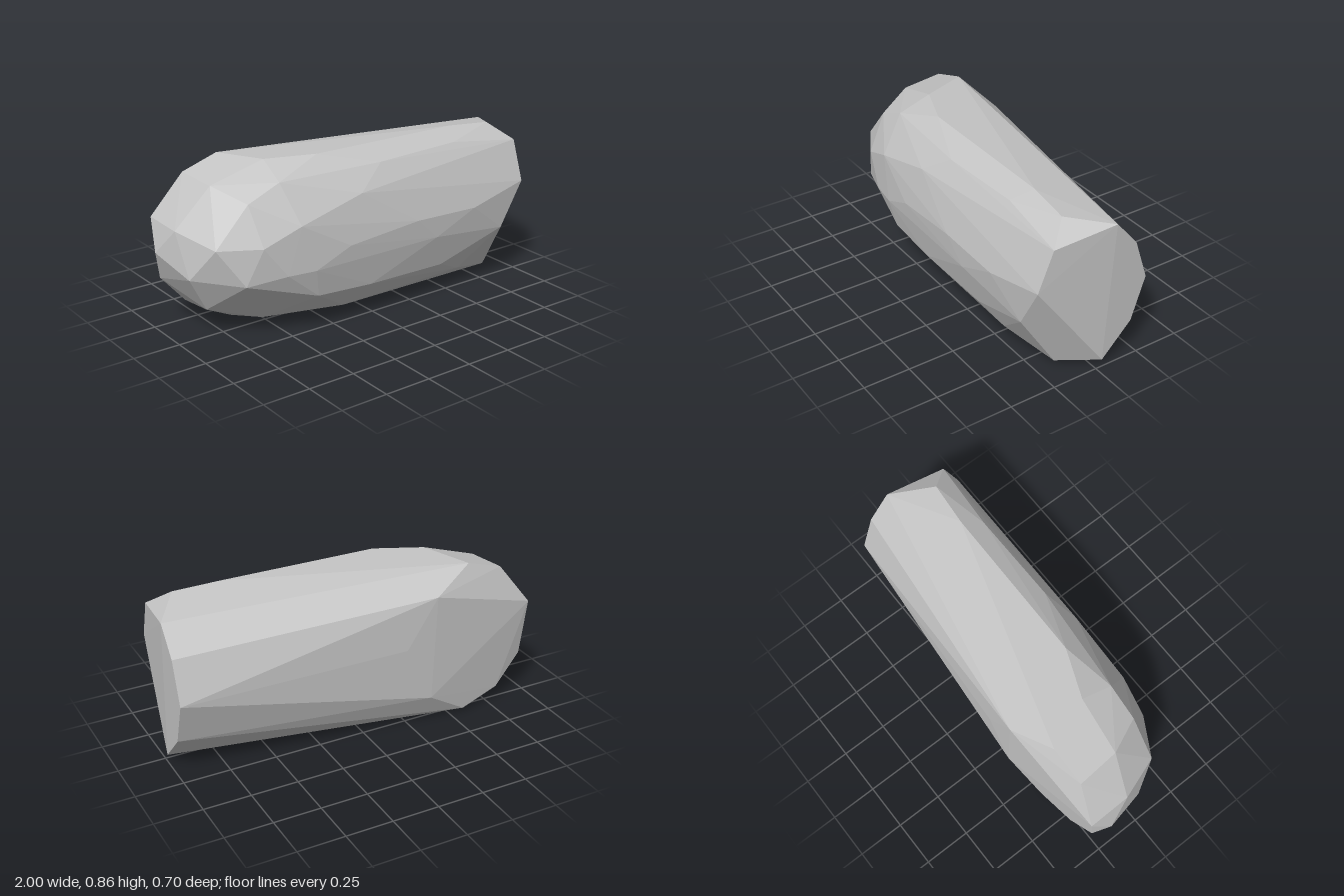
import * as THREE from 'three';
import { ConvexGeometry } from 'three/addons/geometries/ConvexGeometry.js';

// Corner points [x, y, z] of the stone, grouped by region
const regions = {
  cutEnd: [
    [1, 0.8, -0.08], [1, 0.66, -0.2], [1, 0.44, -0.275], [1, 0.21, -0.2], [1, 0.04, -0.035],
    [0.955, 0.545, 0.33], [0.96, 0.757, 0.25], [0.86, 0.845, 0.135], [0.86, 0.025, 0.15], [0.82, 0.305, 0.325],
  ],
  top: [
    [0.62, 0.86, 0.11], [-0.24, 0.862, 0.1], [-0.49, 0.857, 0], [-0.6, 0.847, -0.26],
    [-0.8, 0.785, -0.255], [-0.78, 0.77, -0.025], [-0.51, 0.785, 0.17], [0.07, 0.792, 0.22], [0.56, 0.805, 0.213],
  ],
  front: [
    [-0.47, 0.59, 0.3], [-0.69, 0.71, 0.17], [-0.67, 0.51, 0.272], [0.22, 0.48, 0.347], [0.6, 0.47, 0.35],
    [0.35, 0.36, 0.345], [-0.2, 0.44, 0.335], [-0.4, 0.35, 0.322], [-0.55, 0.35, 0.3], [-0.75, 0.32, 0.235],
    [-0.1, 0.68, 0.29],
  ],
  underside: [
    [0.64, 0, 0.1], [-0.63, 0.015, -0.12], [-0.55, 0.045, 0.055], [-0.15, 0.06, 0.203], [0.58, 0.1, 0.25],
    [0.42, 0.175, 0.297], [-0.05, 0.185, 0.303], [-0.37, 0.2, 0.293], [-0.58, 0.018, -0.305],
  ],
  roundedEnd: [
    [-1, 0.42, -0.2], [-0.96, 0.57, -0.305], [-0.955, 0.56, -0.075], [-0.87, 0.51, 0.16],
    [-0.945, 0.335, 0.03], [-0.945, 0.25, -0.27], [-0.8, 0.085, -0.285], [-0.84, 0.145, 0],
  ],
  back: [[-0.37, 0.74, -0.347], [-0.2, 0.48, -0.347], [-0.35, 0.165, -0.347]],
};

export function createModel() {
  const group = new THREE.Group();
  group.name = 'stone';

  const stoneGrey = new THREE.MeshStandardMaterial({ color: 0xc4c4c4, flatShading: true });
  stoneGrey.name = 'stoneGrey';

  // One faceted convex body wrapped round all the corners
  const points = Object.values(regions).flat().map((p) => new THREE.Vector3(...p));
  const body = new THREE.Mesh(new ConvexGeometry(points), stoneGrey);
  body.name = 'stoneBody';
  group.add(body);
  return group;
}
